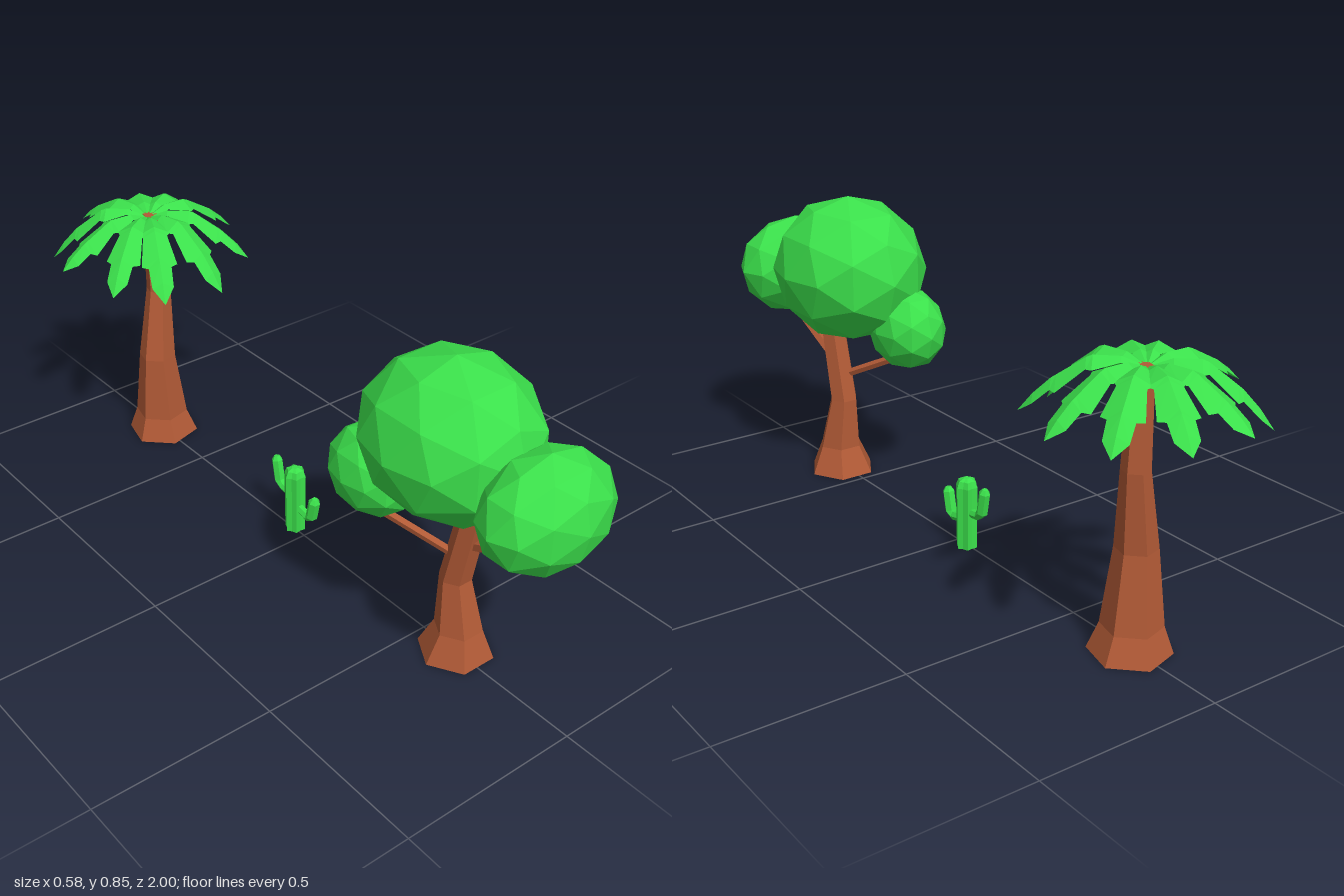
import * as THREE from 'three';

const material = (color, side = THREE.FrontSide) =>
  new THREE.MeshStandardMaterial({ color, flatShading: true, side });
const bark = material(0xb15a36);
const green = material(0x3be04b);
const leafGreen = material(0x3be04b, THREE.DoubleSide);

function addMesh(parent, name, geometry, mat) {
  const mesh = new THREE.Mesh(geometry, mat);
  mesh.name = name;
  parent.add(mesh);
  return mesh;
}

function facetGeometry(points, index) {
  const indexed = new THREE.BufferGeometry().setFromPoints(points);
  indexed.setIndex(index);
  const geometry = indexed.toNonIndexed();
  geometry.computeVertexNormals();
  return geometry;
}

// Closed loft through rings [x, y, z, radius]; rings lie level, or square to the path when follow is set
function loft(rings, { sides = 6, phase = 0, follow = false, groove = 1 } = {}) {
  const centres = rings.map(([x, y, z]) => new THREE.Vector3(x, y, z));
  const last = rings.length - 1;
  const points = [], index = [];
  rings.forEach((ring, i) => {
    const t = new THREE.Vector3(0, 1, 0);
    if (follow) t.subVectors(centres[Math.min(i + 1, last)], centres[Math.max(i - 1, 0)]).normalize();
    const u = new THREE.Vector3(1, 0, 0).addScaledVector(t, -t.x).normalize();
    const v = t.clone().cross(u);
    for (let k = 0; k < sides; k++) {
      const a = phase + (k / sides) * Math.PI * 2;
      const r = ring[3] * (k % 2 ? groove : 1);
      points.push(centres[i].clone().addScaledVector(u, Math.cos(a) * r).addScaledVector(v, Math.sin(a) * r));
    }
  });
  const bottom = points.push(centres[0]) - 1;
  const top = points.push(centres[last]) - 1;
  for (let k = 0; k < sides; k++) {
    const n = (k + 1) % sides;
    for (let i = 0; i < last; i++) {
      const a = i * sides, b = a + sides;
      index.push(a + k, a + n, b + n, a + k, b + n, b + k);
    }
    index.push(bottom, n, k, top, last * sides + k, last * sides + n);
  }
  return facetGeometry(points, index);
}

// Palm leaf along +x: folded along a raised midrib, with a toothed edge
function leafGeometry(length, drop) {
  // [distance, midrib height, half width, edge height below midrib]
  const stations = [
    [0.0, -0.01, 0.006, 0.004], [0.2, 0.012, 0.018, 0.01], [0.42, 0.012, 0.045, 0.022],
    [0.47, 0.006, 0.034, 0.018], [0.7, -0.3, 0.05, 0.026], [0.74, -0.36, 0.032, 0.018],
    [0.88, -0.66, 0.03, 0.015], [1.0, -1, 0, 0],
  ];
  const points = [], index = [];
  stations.forEach(([d, h, w, e], i) => {
    const x = d * length, y = h < -0.1 ? h * drop : h;
    points.push(new THREE.Vector3(x, y, 0), new THREE.Vector3(x, y - e, w), new THREE.Vector3(x, y - e, -w));
    if (i === 0) return;
    const b = i * 3, a = b - 3;
    index.push(a, a + 1, b + 1, a, b + 1, b, a, b, b + 2, a, b + 2, a + 2);
  });
  return facetGeometry(points, index);
}

function createTree() {
  const tree = new THREE.Group();
  tree.name = 'leafyTree';
  addMesh(tree, 'treeTrunk', loft([
    [0.007, 0, 0.61, 0.1], [0.007, 0.08, 0.615, 0.064],
    [0, 0.23, 0.6, 0.042], [0.005, 0.46, 0.645, 0.038],
  ]), bark);
  addMesh(tree, 'frontBranch', loft([[0.005, 0.34, 0.62, 0.016], [0, 0.47, 0.92, 0.014]],
    { sides: 5, follow: true }), bark);
  addMesh(tree, 'backBranch', loft([[-0.01, 0.305, 0.6, 0.012], [-0.12, 0.4, 0.42, 0.012]],
    { sides: 5, follow: true }), bark);

  // Crown lumps: centre, radii
  const lumps = [
    ['mainFoliage', [-0.018, 0.64, 0.575], [0.215, 0.212, 0.243]],
    ['frontFoliage', [-0.007, 0.587, 0.87], [0.185, 0.15, 0.13]],
    ['backFoliage', [-0.1, 0.487, 0.4], [0.105, 0.12, 0.13]],
  ];
  for (const [name, centre, radii] of lumps) {
    const geometry = new THREE.IcosahedronGeometry(1, 1).scale(...radii);
    geometry.computeVertexNormals();
    addMesh(tree, name, geometry, green).position.set(...centre);
  }
  return tree;
}

function createPalm() {
  const palm = new THREE.Group();
  palm.name = 'palmTree';
  addMesh(palm, 'palmTrunk', loft([
    [0.005, 0, -0.717, 0.105], [0.002, 0.07, -0.717, 0.078], [-0.005, 0.27, -0.713, 0.054],
    [0.022, 0.48, -0.728, 0.036], [0.01, 0.725, -0.722, 0.028],
  ], { phase: 0.28 }), bark);

  const crown = new THREE.Group();
  crown.name = 'palmCrown';
  crown.position.set(-0.003, 0.73, -0.722);
  palm.add(crown);
  // Each leaf: heading in degrees from +x towards +z, drop of the tip
  const leaves = [[0, 0.12], [43, 0.13], [79, 0.16], [115, 0.15], [144, 0.13],
    [181, 0.1], [222, 0.15], [259, 0.1], [292, 0.11], [326, 0.12]];
  for (const [heading, drop] of leaves) {
    const leaf = addMesh(crown, 'palmLeaf', leafGeometry(0.288, drop), leafGreen);
    leaf.rotation.y = -THREE.MathUtils.degToRad(heading);
  }
  return palm;
}

function createCactus() {
  const cactus = new THREE.Group();
  cactus.name = 'cactus';
  const x = 0.005, z = -0.047;
  const ribbed = { sides: 12, groove: 0.78 };
  addMesh(cactus, 'cactusBody', loft([
    [x, 0, z, 0.03], [x, 0.18, z, 0.032], [x, 0.198, z, 0.025], [x, 0.205, z, 0.01],
  ], ribbed), green);
  // Bent arms on either side of the body
  addMesh(cactus, 'frontArm', loft([
    [x, 0.082, z, 0.012], [x, 0.07, 0.012, 0.014], [x, 0.08, 0.027, 0.017],
    [x, 0.134, 0.039, 0.017], [x, 0.146, 0.041, 0.008],
  ], { sides: 6, follow: true }), green);
  addMesh(cactus, 'backArm', loft([
    [x, 0.105, z, 0.012], [x, 0.112, -0.1, 0.013], [x, 0.128, -0.117, 0.016],
    [x, 0.188, -0.128, 0.016], [x, 0.2, -0.13, 0.008],
  ], { sides: 6, follow: true }), green);
  return cactus;
}

export function createModel() {
  const model = new THREE.Group();
  model.name = 'plants';
  model.add(createTree(), createCactus(), createPalm());
  return model;
}
